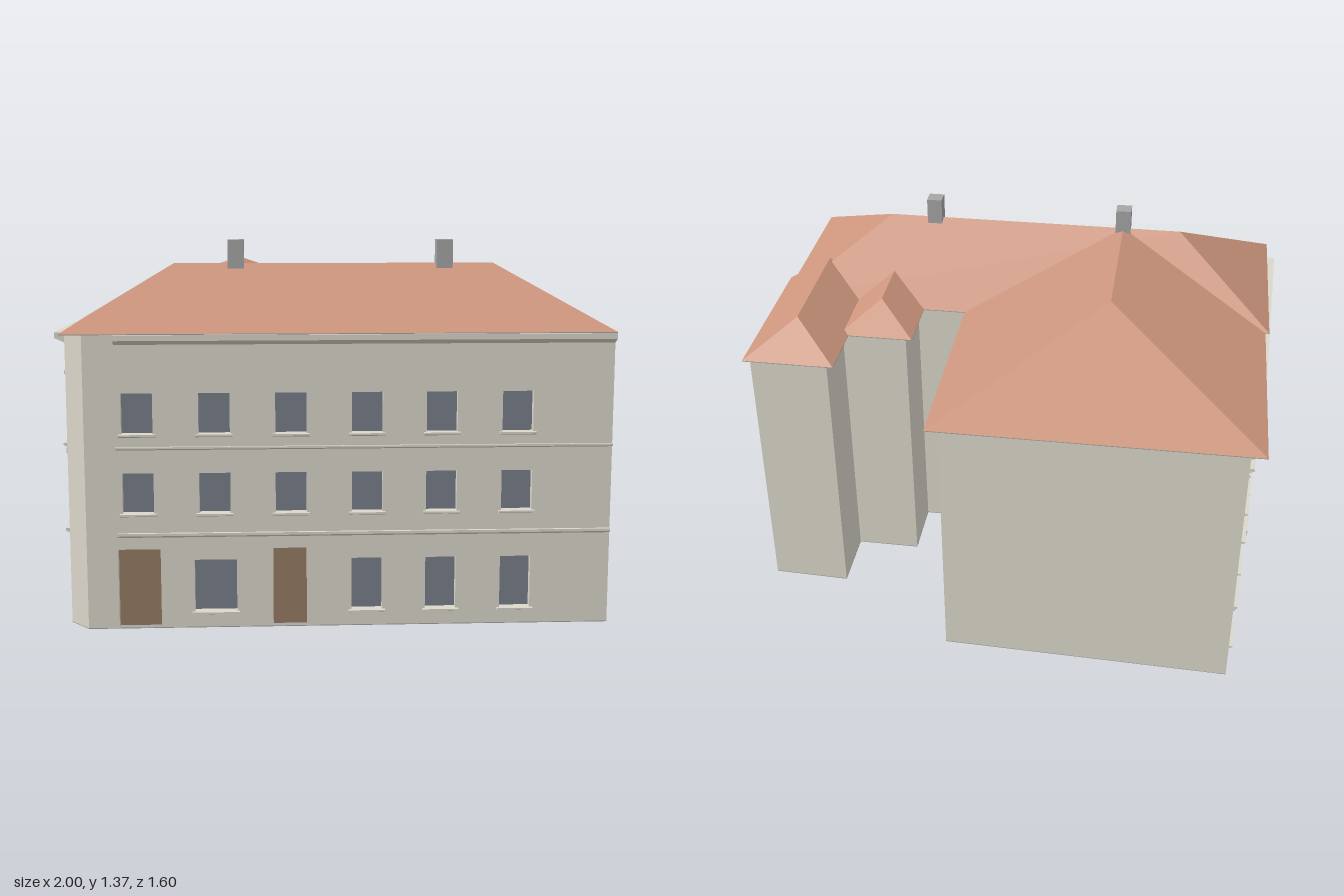
import * as THREE from 'three';
import { ConvexGeometry } from 'three/addons/geometries/ConvexGeometry.js';

const material = (name, color) => {
  const m = new THREE.MeshStandardMaterial({ color });
  m.name = name;
  return m;
};

const EAVE = 1.06, RIDGE = 1.285, RECESS = 0.035, BASE = 0.003;

export function createModel() {
  const wall = material('stucco', 0xdbd7ca);
  const tile = material('roof tile', 0xcc957d);
  const glass = material('window glass', 0x787e8a);
  const wood = material('door wood', 0x967c63);
  const grey = material('grey', 0xa6a6a6);

  const model = new THREE.Group();
  model.name = 'townhouse';

  const add = (parent, name, geometry, mat, x = 0, y = 0, z = 0) => {
    const mesh = new THREE.Mesh(geometry, mat);
    mesh.name = name;
    mesh.position.set(x, y, z);
    parent.add(mesh);
    return mesh;
  };
  const extrude = (shape, depth) => new THREE.ExtrudeGeometry(shape, { depth, bevelEnabled: false });

  // Prism standing on a ground plan given as [x, z] corners
  const plan = (corners, height) =>
    extrude(new THREE.Shape(corners.map(([x, z]) => new THREE.Vector2(x, -z))), height).rotateX(-Math.PI / 2);

  // Ground plan: back corners run from the left wing to the right wing
  const back = [[0.2, -0.73], [0.2, 0.06], [0.43, 0.06], [0.43, -0.18], [0.68, -0.18], [0.68, -0.425], [0.98, -0.415]];
  add(model, 'body', plan([
    [0.98, 0.765 - RECESS], [-0.89, 0.765 - RECESS], [-0.89, 0.765], [-0.96, 0.68],
    [-0.96 + RECESS, 0.68], [-0.895 + RECESS, -0.76], ...back,
  ], EAVE - 0.003 - BASE), wall, 0, BASE, 0);
  add(model, 'basePlate', plan([
    [0.98, 0.765], [-0.89, 0.765], [-0.96, 0.68], [-0.895, -0.76], ...back,
  ], BASE), grey);

  // Moulding running along a facade, with a sloped underside
  const moulding = (parent, name, u0, u1, y0, y1, out) => {
    const s = new THREE.Shape([
      new THREE.Vector2(0, y0), new THREE.Vector2(0, y1),
      new THREE.Vector2(-out, y1), new THREE.Vector2(-out, y0 + (y1 - y0) * 0.45),
    ]);
    add(parent, name, extrude(s, u1 - u0).rotateY(Math.PI / 2), wall, u0, 0, 0);
  };

  // Facade panel: doors are notches in the outline, windows are holes
  const facade = (name, width, doors, windows) => {
    const group = new THREE.Group();
    group.name = name;
    const outline = new THREE.Shape();
    outline.moveTo(0, BASE);
    for (const [u, w, h] of doors) {
      outline.lineTo(u - w / 2, BASE);
      outline.lineTo(u - w / 2, h);
      outline.lineTo(u + w / 2, h);
      outline.lineTo(u + w / 2, BASE);
      add(group, 'door', new THREE.BoxGeometry(w, h - BASE, 0.006), wood, u, (h + BASE) / 2, 0.003 - RECESS);
    }
    outline.lineTo(width, BASE);
    outline.lineTo(width, EAVE - 0.003);
    outline.lineTo(0, EAVE - 0.003);
    outline.closePath();
    for (const [u, w, y0, y1, hood] of windows) {
      const hole = new THREE.Path();
      hole.moveTo(u - w / 2, y0);
      hole.lineTo(u - w / 2, y1);
      hole.lineTo(u + w / 2, y1);
      hole.lineTo(u + w / 2, y0);
      hole.closePath();
      outline.holes.push(hole);
      add(group, 'windowPane', new THREE.BoxGeometry(w, y1 - y0, 0.006), glass, u, (y0 + y1) / 2, 0.003 - RECESS);
      moulding(group, 'windowSill', u - w / 2 - 0.01, u + w / 2 + 0.01, y0 - 0.012, y0, 0.016);
      if (hood) moulding(group, 'windowHood', u - w / 2 - 0.015, u + w / 2 + 0.015, y1 + 0.03, y1 + 0.03 + hood, 0.02);
    }
    add(group, 'facadeWall', extrude(outline, RECESS), wall, 0, 0, -RECESS);
    model.add(group);
    return group;
  };

  // Front facade, u runs from the chamfered corner towards +x
  const fx = (x) => x + 0.89;
  const frontWindows = [[fx(-0.435), 0.15, 0.06, 0.25]];
  for (const x of [0.105, 0.37, 0.64]) frontWindows.push([fx(x), 0.11, 0.06, 0.25]);
  for (const x of [-0.705, -0.435, -0.165, 0.105, 0.37, 0.64]) {
    frontWindows.push([fx(x), 0.11, 0.42, 0.565], [fx(x), 0.11, 0.705, 0.85]);
  }
  const front = facade('frontFacade', 1.87, [[fx(-0.705), 0.15, 0.29], [fx(-0.17), 0.12, 0.29]], frontWindows);
  front.position.set(-0.89, 0, 0.765);
  moulding(front, 'lowerBand', 0.11, 1.87, 0.333, 0.35, 0.012);
  moulding(front, 'upperBand', 0.11, 1.87, 0.648, 0.66, 0.01);
  moulding(front, 'cornice', 0.11, 1.87, 1.02, 1.056, 0.032);

  // Left facade, slightly skewed, u runs from the back corner to the front
  const leftWindows = [];
  for (const u of [0.16, 0.37, 0.565, 1.29]) leftWindows.push([u, 0.11, 0.06, 0.26]);
  for (const u of [0.17, 0.4, 0.61, 0.83, 1.06, 1.29]) {
    leftWindows.push([u, 0.11, 0.42, 0.565, 0.035], [u, 0.11, 0.705, 0.86, 0.02]);
  }
  const left = facade('leftFacade', 1.4415, [[0.77, 0.1, 0.27], [1.07, 0.12, 0.27]], leftWindows);
  left.position.set(-0.895, 0, -0.76);
  left.rotation.y = -Math.PI / 2 - Math.atan2(0.065, 1.44);
  moulding(left, 'lowerBand', 0, 1.44, 0.333, 0.35, 0.014);
  moulding(left, 'upperBand', 0, 1.44, 0.648, 0.66, 0.014);
  moulding(left, 'cornice', 0, 1.44, 1.02, 1.056, 0.036);

  // Roof solid over a rectangular eave, with a ridge between two [x, z] ends
  const roof = (name, x0, x1, z0, z1, top, ridge) => {
    const corners = [[x0, z0], [x0, z1], [x1, z1], [x1, z0]];
    const points = [
      ...corners.map(([x, z]) => new THREE.Vector3(x, EAVE, z)),
      ...ridge.map(([x, z]) => new THREE.Vector3(x, top, z)),
    ];
    add(model, name, new ConvexGeometry(points), tile);
    add(model, name + 'Soffit', plan(corners, 0.003), grey, 0, EAVE - 0.003, 0);
  };
  roof('mainRoof', -0.965, 0.98, 0.03, 0.795, RIDGE, [[-0.59, 0.41], [0.6, 0.41]]);
  roof('leftWingRoof', -0.95, 0.235, -0.8, 0.03, RIDGE, [[-0.36, -0.2], [-0.36, 0.41]]);
  roof('rightWingRoof', 0.65, 1.0, -0.445, 0.215, 1.165, [[0.825, -0.27], [0.825, 0.215]]);
  roof('stairRoof', 0.4, 0.69, -0.21, 0.03, 1.146, [[0.547, -0.055], [0.547, 0.175]]);

  // Chimneys on the main ridge
  for (const x of [-0.36, 0.415]) {
    add(model, 'chimney', new THREE.BoxGeometry(0.06, 0.12, 0.06), grey, x, 1.312, 0.412);
  }

  return model;
}
